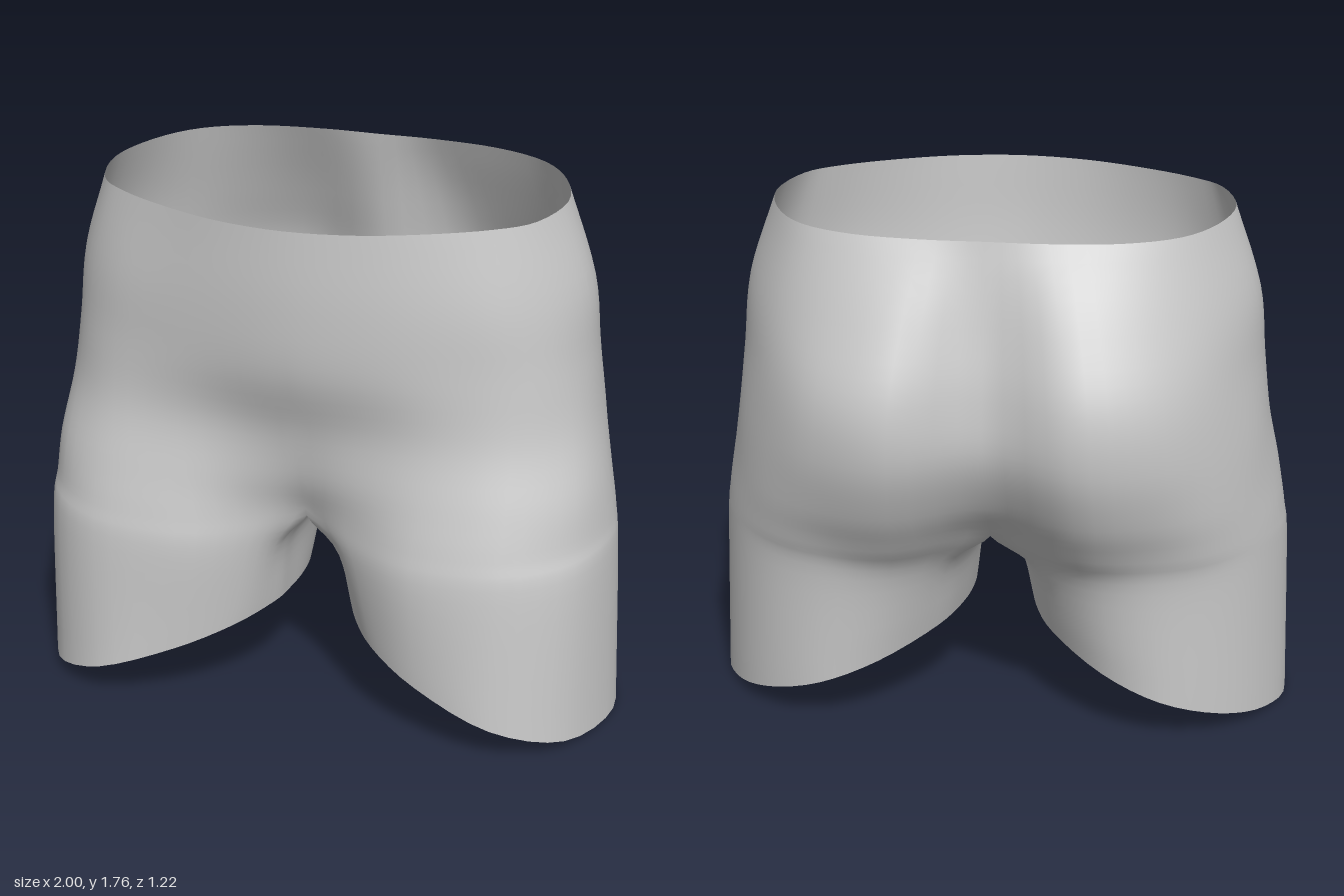
import * as THREE from 'three';
import { mergeVertices } from 'three/addons/utils/BufferGeometryUtils.js';

const V = (x, y, z) => new THREE.Vector3(x, y, z);
const mirrorX = (p) => V(-p.x, p.y, p.z);
const spline = (pts, closed = false) => new THREE.CatmullRomCurve3(pts, closed, 'catmullrom', 0.5);
const hemY = (x) => Math.max(0, 0.34 * (1 - (x - 0.105) / 0.895));

// Left half cross-sections as [x, z], from centre front around the hip to centre back
const pelvis = [
  [1.765, [[0, .605], [.22, .575], [.42, .5], [.6, .4], [.71, .29], [.76, .08], [.71, -.13], [.6, -.29], [.42, -.38], [.2, -.41], [0, -.41]]],
  [1.5, [[0, .6], [.22, .575], [.45, .51], [.65, .42], [.79, .28], [.85, .08], [.8, -.13], [.67, -.33], [.48, -.47], [.25, -.53], [0, -.46]]],
  [1.27, [[0, .575], [.22, .555], [.46, .505], [.68, .42], [.82, .28], [.875, .08], [.83, -.14], [.7, -.37], [.52, -.54], [.28, -.61], [0, -.5]]],
  [1.06, [[0, .505], [.2, .505], [.46, .5], [.69, .44], [.85, .29], [.9, .09], [.86, -.14], [.72, -.38], [.54, -.54], [.29, -.61], [0, -.5]]],
  [0.86, [[0, .46], [.18, .49], [.43, .535], [.69, .5], [.88, .35], [.94, .11], [.88, -.14], [.74, -.36], [.55, -.49], [.3, -.54], [0, -.41]]],
  [0.71, [[0, .4], [.15, .46], [.4, .56], [.69, .54], [.89, .38], [.965, .12], [.9, -.13], [.75, -.33], [.55, -.43], [.3, -.45], [0, -.29]]],
];
// Closed leg sections: the same stations, then three more along the inner thigh
const legs = [
  [() => 0.57, [[.1, .37], [.19, .47], [.4, .575], [.69, .565], [.9, .41], [.98, .13], [.91, -.12], [.76, -.3], [.55, -.39], [.33, -.375], [.15, -.24], [.08, -.08], [.07, .1], [.08, .26]]],
  [hemY, [[.14, .33], [.24, .46], [.42, .56], [.68, .59], [.9, .44], [1, .13], [.93, -.1], [.78, -.27], [.58, -.36], [.38, -.32], [.2, -.17], [.125, -.02], [.105, .12], [.115, .24]]],
];
const OUTER = 10, ALL = 14, SUB = 4, ROWS = 5, CROTCH = pelvis.length - 1;

// Sample every ring at the same stations
function buildRings() {
  const rings = pelvis.map(([y, pts]) => {
    const half = pts.map(([x, z]) => V(x, y, z));
    const other = half.slice(1, -1).reverse().map(mirrorX);
    const curve = spline([...half, ...other], true);
    return Array.from({ length: OUTER * SUB + 1 }, (_, k) => curve.getPoint(k / (2 * OUTER * SUB)));
  });
  // Saddle running under the crotch from back to front
  const crotch = rings[CROTCH];
  const saddle = spline([crotch[OUTER * SUB], V(0, .67, -.12), V(0, .66, .1), V(0, .668, .28), crotch[0]]);
  const inner = (ALL - OUTER) * SUB;
  for (let k = 1; k < inner; k++) crotch.push(saddle.getPoint(k / inner));
  for (const [yAt, pts] of legs) {
    const curve = spline(pts.map(([x, z]) => V(x, yAt(x), z)), true);
    rings.push(Array.from({ length: ALL * SUB }, (_, k) => {
      const p = curve.getPoint(k / (ALL * SUB));
      return p.setY(yAt(p.x));
    }));
  }
  return rings;
}

// Run a smooth line down the cloth through each station
function buildColumns(rings) {
  const last = rings.length - 1;
  return Array.from({ length: ALL * SUB }, (_, k) => {
    const outer = k <= OUTER * SUB;
    const pts = outer
      ? rings.map((r) => r[k])
      : [mirrorX(rings[CROTCH + 1][k]), ...rings.slice(CROTCH).map((r) => r[k])];
    const curve = spline(pts);
    const column = [];
    for (let i = outer ? 0 : CROTCH * ROWS; i <= last * ROWS; i++) {
      const step = i / ROWS - (outer ? 0 : CROTCH - 1);
      const p = curve.getPoint(step / (pts.length - 1));
      p.x = Math.max(0, p.x);
      // Both halves meet on the centre line above the crotch
      if ((k === 0 || k === OUTER * SUB) && i <= CROTCH * ROWS) p.x = 0;
      p.y = Math.max(0, p.y);
      column[i] = p;
    }
    return column;
  });
}

function buildShell() {
  const columns = buildColumns(buildRings());
  const pos = [];
  const tri = (a, b, c) => {
    for (const p of [a, b, c]) pos.push(p.x, p.y, p.z);
    for (const p of [a, c, b]) pos.push(-p.x, p.y, p.z);
  };
  const rows = (pelvis.length + legs.length - 1) * ROWS;
  for (let i = 0; i < rows; i++) {
    const count = i < CROTCH * ROWS ? OUTER * SUB : ALL * SUB;
    for (let k = 0; k < count; k++) {
      const left = columns[k], right = columns[(k + 1) % (ALL * SUB)];
      tri(left[i], left[i + 1], right[i + 1]);
      tri(left[i], right[i + 1], right[i]);
    }
  }
  const geometry = new THREE.BufferGeometry();
  geometry.setAttribute('position', new THREE.Float32BufferAttribute(pos, 3));
  const merged = mergeVertices(geometry, 1e-4);
  merged.computeVertexNormals();
  return merged;
}

export function createModel() {
  const group = new THREE.Group();
  group.name = 'shorts';
  const material = new THREE.MeshStandardMaterial({ color: 0xcccccc, side: THREE.DoubleSide });
  const shell = new THREE.Mesh(buildShell(), material);
  shell.name = 'shortsFabric';
  group.add(shell);
  return group;
}
